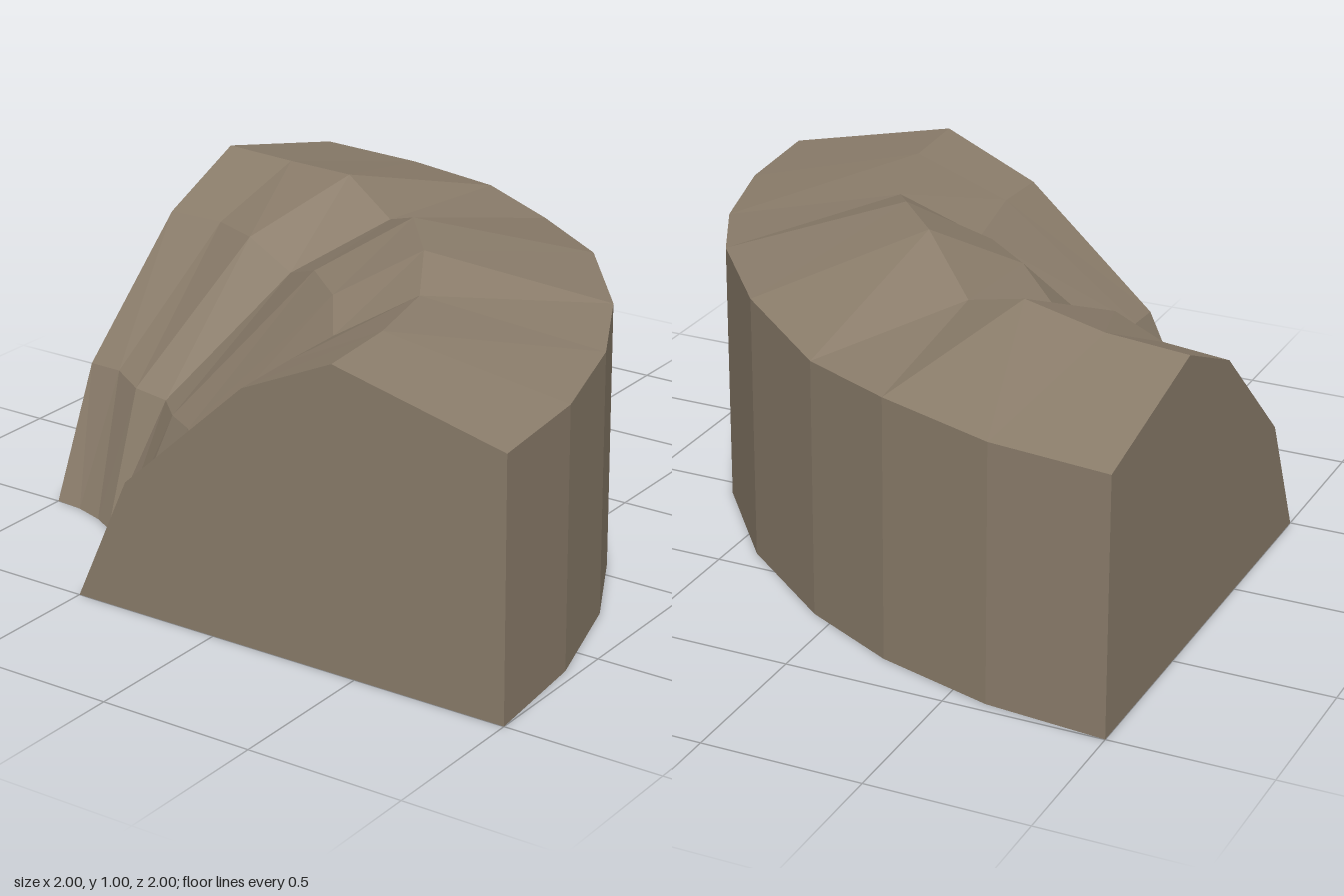
import * as THREE from 'three';

// Angles of the nine cross-sections, swept from the -z end to the +x end
const INNER = [0, 11, 22.8, 32.5, 45, 56, 65, 78.8, 90];
const OUTER = [0, 11, 22.3, 32.3, 45, 57.7, 67.7, 79, 90];
const all = (v) => Array(9).fill(v);

// Rings from the inner foot, over the crest, to the outer foot: angles, radii, heights
const RINGS = [
  { a: INNER, r: all(0.5), y: all(0) },
  { a: INNER, r: [0.69, 0.68, 0.65, 0.7, 0.686, 0.73, 0.765, 0.7, 0.69], y: [0.41, 0.42, 0.41, 0.4, 0.41, 0.42, 0.41, 0.42, 0.41] },
  { a: INNER, r: [1.12, 1.12, 1.07, 1.12, 1.13, 1.17, 1.19, 1.14, 1.12], y: [0.8, 0.81, 0.83, 0.76, 0.85, 0.85, 0.79, 0.81, 0.8] },
  { a: INNER, r: [1.44, 1.43, 1.44, 1.457, 1.435, 1.44, 1.445, 1.435, 1.43], y: [0.94, 0.945, 0.97, 0.89, 1, 0.99, 0.93, 0.945, 0.94] },
  { a: OUTER, r: all(2), y: [0.81, 0.815, 0.83, 0.82, 0.85, 0.845, 0.825, 0.815, 0.81] },
  { a: OUTER, r: all(2), y: all(0) },
];

// Corner j of section i; the bend turns about (-1, 1)
function corner(j, i) {
  const { a, r, y } = RINGS[j];
  const t = THREE.MathUtils.degToRad(a[i]);
  return [-1 + r[i] * Math.sin(t), y[i], 1 - r[i] * Math.cos(t)];
}

function facetMesh(name, corners, material) {
  const g = new THREE.BufferGeometry();
  g.setAttribute('position', new THREE.Float32BufferAttribute(corners.flat(), 3));
  g.computeVertexNormals();
  const mesh = new THREE.Mesh(g, material);
  mesh.name = name;
  return mesh;
}

// Faceted band between ring j and the next ring
function band(j) {
  const k = (j + 1) % RINGS.length;
  const out = [];
  for (let i = 0; i < 8; i++) {
    out.push(corner(j, i), corner(j, i + 1), corner(k, i));
    out.push(corner(k, i), corner(j, i + 1), corner(k, i + 1));
  }
  return out;
}

// Flat end wall closing section i
function endWall(i) {
  const out = [];
  for (let j = 0; j < 4; j++) {
    const tri = [corner(5, i), corner(j, i), corner(j + 1, i)];
    out.push(...(i === 0 ? tri : tri.reverse()));
  }
  return out;
}

export function createModel() {
  const rock = new THREE.MeshStandardMaterial({ color: 0x8b7d6b });
  rock.name = 'rock';
  rock.flatShading = true;
  const model = new THREE.Group();
  model.name = 'curvedCliff';
  const names = ['lowerSlope', 'middleSlope', 'upperSlope', 'cliffTop', 'outerWall', 'underside'];
  names.forEach((name, j) => model.add(facetMesh(name, band(j), rock)));
  model.add(facetMesh('rightEndWall', endWall(0), rock));
  model.add(facetMesh('frontEndWall', endWall(8), rock));
  return model;
}
